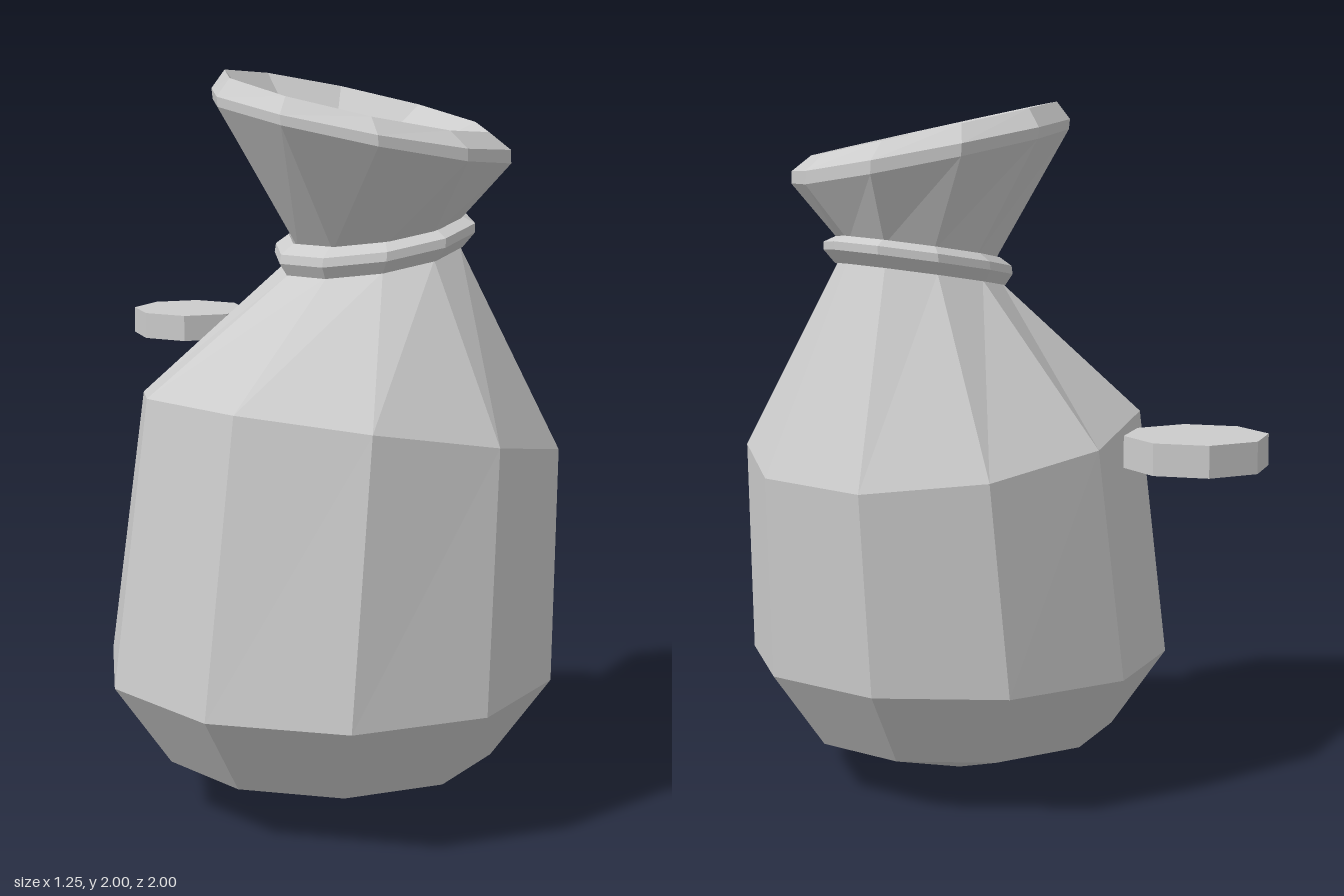
import * as THREE from 'three';

const SIDES = 10;
const material = new THREE.MeshStandardMaterial({ color: 0xcccccc, flatShading: true });

// Ring: centre x, y, z, radius, and rise of its plane along x and z.
function ringPoint([cx, cy, cz, r, riseX = 0, riseZ = 0], i) {
  const a = (i / SIDES) * Math.PI * 2;
  const dx = r * Math.sin(a);
  const dz = r * Math.cos(a);
  return [cx + dx, cy + riseX * dx + riseZ * dz, cz + dz];
}

// Faceted skin through consecutive rings; a ring of radius 0 is a tip.
function loft(name, rings) {
  const positions = [];
  for (let k = 0; k < rings.length - 1; k++) {
    const [lower, upper] = [rings[k], rings[k + 1]];
    for (let i = 0; i < SIDES; i++) {
      const a = ringPoint(lower, i);
      const b = ringPoint(lower, i + 1);
      const c = ringPoint(upper, i + 1);
      const d = ringPoint(upper, i);
      if (lower[3] > 0) positions.push(...a, ...b, ...c);
      if (upper[3] > 0) positions.push(...a, ...c, ...d);
    }
  }
  const geometry = new THREE.BufferGeometry();
  geometry.setAttribute('position', new THREE.Float32BufferAttribute(positions, 3));
  geometry.computeVertexNormals();
  const mesh = new THREE.Mesh(geometry, material);
  mesh.name = name;
  return mesh;
}

export function createModel() {
  const group = new THREE.Group();
  group.name = 'coinPouch';

  // Sack: pointed base, leaning belly, pinched neck, flared mouth and hollow
  group.add(loft('sack', [
    [-0.035, 0, 0.38, 0],
    [-0.035, 0.145, 0.38, 0.46],
    [-0.035, 0.37, 0.38, 0.62],
    [0.035, 1.05, 0.378, 0.58, -0.184, 0.02],
    [0.082, 1.505, 0.42, 0.24, 0.165, 0.03],
    [0.092, 1.57, 0.42, 0.225, 0.165, 0.03],
    [0.029, 1.84, 0.426, 0.405, -0.14, -0.139],
    [0.028, 1.872, 0.424, 0.406, -0.125, -0.139],
    [0.017, 1.92, 0.42, 0.358, -0.135, -0.17],
    [-0.035, 1.66, 0.375, 0],
  ]));

  // Cord tied round the neck
  group.add(loft('neckCord', [
    [0.092, 1.54, 0.42, 0.2, 0.165, 0.035],
    [0.081, 1.502, 0.42, 0.248, 0.165, 0.035],
    [0.089, 1.538, 0.42, 0.275, 0.165, 0.035],
    [0.091, 1.562, 0.42, 0.273, 0.165, 0.035],
    [0.096, 1.583, 0.415, 0.238, 0.165, 0.035],
    [0.092, 1.54, 0.42, 0.2, 0.165, 0.035],
  ]));

  // Loose coin floating behind the sack
  const coin = new THREE.Mesh(new THREE.CylinderGeometry(0.182, 0.182, 0.08, 8), material);
  coin.position.set(0.44, 1.15, -0.818);
  coin.name = 'coin';
  group.add(coin);

  return group;
}
